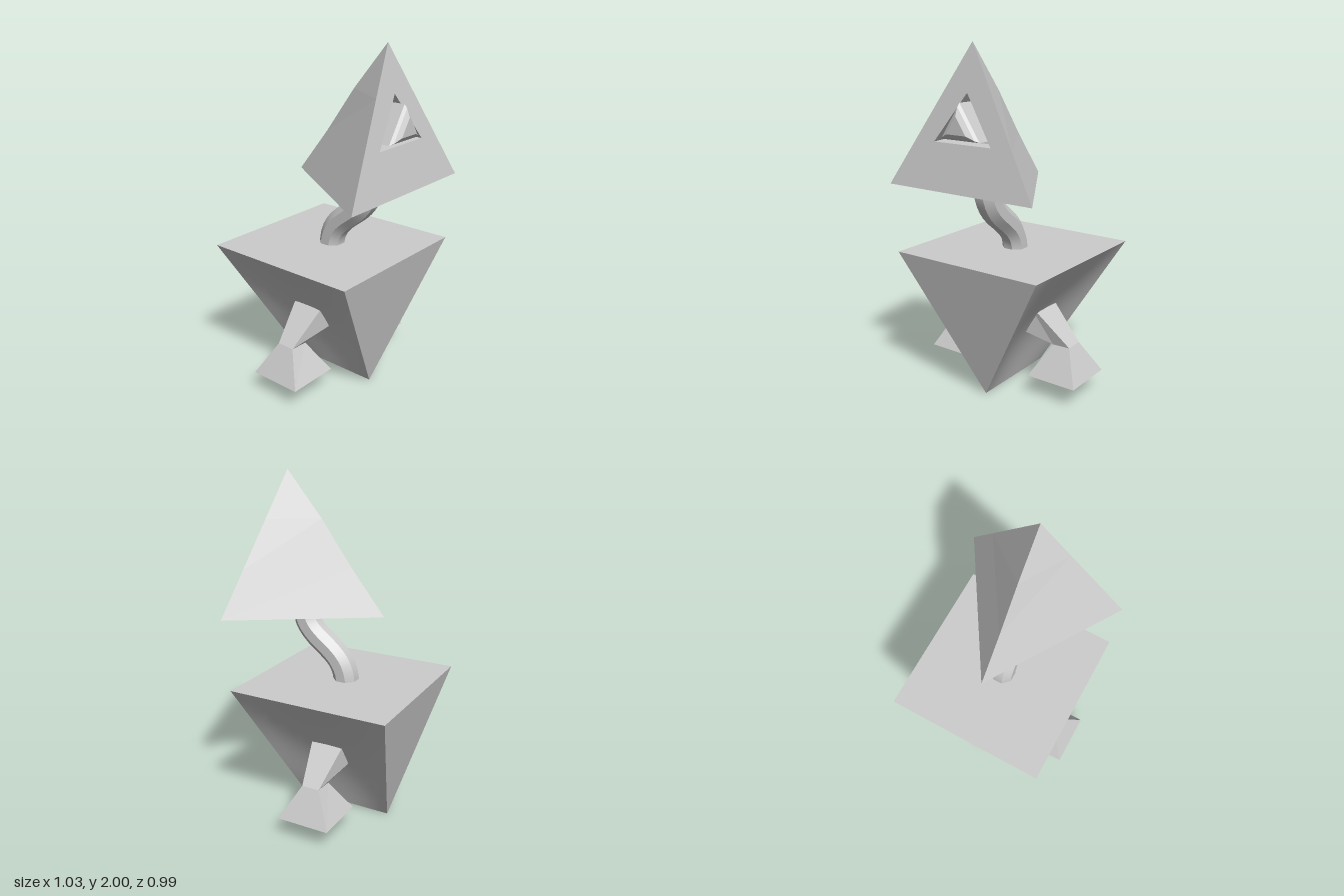
import * as THREE from 'three';
import { toCreasedNormals } from 'three/addons/utils/BufferGeometryUtils.js';

const material = new THREE.MeshStandardMaterial({ color: 0xcccccc });

// Flat-shaded skin over loops of [x, y, z] points, wound counter-clockwise about the
// direction of travel; edges listed in skip are left open.
function loft(loops, { skip = [], start = true, end = true } = {}) {
  const pos = [];
  const tri = (a, b, c) => pos.push(...a, ...b, ...c);
  const n = loops[0].length;
  for (let s = 0; s < loops.length - 1; s++) {
    for (let i = 0; i < n; i++) {
      if (skip.includes(i)) continue;
      const j = (i + 1) % n, p = loops[s], q = loops[s + 1];
      tri(p[i], p[j], q[j]);
      tri(p[i], q[j], q[i]);
    }
  }
  const first = loops[0], last = loops[loops.length - 1];
  for (let i = 1; i < n - 1; i++) {
    if (start) tri(first[0], first[i + 1], first[i]);
    if (end) tri(last[0], last[i], last[i + 1]);
  }
  const geo = new THREE.BufferGeometry();
  geo.setAttribute('position', new THREE.Float32BufferAttribute(pos, 3));
  geo.computeVertexNormals();
  return geo;
}

function add(parent, name, geo) {
  const mesh = new THREE.Mesh(geo, material);
  mesh.name = name;
  parent.add(mesh);
  return mesh;
}

const headFrontZ = y => 0.495 - 0.15 * (y - 1.23) / 0.77;

// Upright triangle: half width w, base y0, top y1, scaled by s about its centroid
function triangle(w, y0, y1, s, zAt) {
  const c = y0 + (y1 - y0) / 3;
  return [[-w, y0], [w, y0], [0, y1]].map(([x, y]) => {
    const py = c + (y - c) * s;
    return [x * s, py, zAt(py)];
  });
}

function makeHead() {
  const head = new THREE.Group();
  head.name = 'head';

  // Back sides and base, with a slightly bent rear edge
  const rings = [[1.23, -0.26], [1.484, -0.058], [1.743, 0.13], [2, 0.345]].map(([y, back]) => {
    const w = 0.475 * (2 - y) / 0.77;
    return [[-w, y, headFrontZ(y)], [w, y, headFrontZ(y)], [0, y, back]];
  });
  add(head, 'headShell', loft(rings, { skip: [0], end: false }));

  // Sloping face with a triangular opening
  const opening = triangle(0.187, 1.485, 1.745, 1, headFrontZ);
  const shape = new THREE.Shape([[-0.475, 1.23], [0.475, 1.23], [0, 2]].map(p => new THREE.Vector2(...p)));
  shape.holes.push(new THREE.Path(opening.map(p => new THREE.Vector2(p[0], p[1]))));
  const face = new THREE.ShapeGeometry(shape);
  const fp = face.attributes.position;
  for (let i = 0; i < fp.count; i++) fp.setZ(i, headFrontZ(fp.getY(i)));
  face.computeVertexNormals();
  add(head, 'face', face);

  // Recess around the eye
  const floor = triangle(0.187, 1.485, 1.745, 0.94, y => headFrontZ(y) - 0.07);
  add(head, 'eyeSocket', loft([opening, floor], { start: false }));

  // Bulging bevelled eye
  const eyeRings = [[1, 0.31], [1, 0.457], [0.85, 0.474], [0.5, 0.492]];
  add(head, 'eye', loft(eyeRings.map(([s, z]) => triangle(0.127, 1.507, 1.7, s, () => z))));
  return head;
}

// Eight-sided S-curved neck
function makeNeck() {
  const path = new THREE.CubicBezierCurve3(
    new THREE.Vector3(0, 0.8, -0.025), new THREE.Vector3(0, 1.04, -0.025),
    new THREE.Vector3(0, 1.01, 0.25), new THREE.Vector3(0, 1.25, 0.25));
  const octagon = new THREE.Shape();
  for (let i = 0; i < 8; i++) {
    const a = (i + 0.5) * Math.PI / 4;
    octagon[i ? 'lineTo' : 'moveTo'](0.0745 * Math.cos(a), 0.0745 * Math.sin(a));
  }
  octagon.closePath();
  const geo = new THREE.ExtrudeGeometry(octagon, { steps: 16, extrudePath: path });
  return toCreasedNormals(geo, 0.5);
}

// Body side: sloping trapezoid, gently hollowed in the middle
function makeBodySide() {
  const geo = new THREE.PlaneGeometry(2, 1, 12, 12);
  const p = geo.attributes.position;
  for (let i = 0; i < p.count; i++) {
    const u = p.getX(i), t = p.getY(i) + 0.5;
    const hollow = 0.062 * (1 - u * u) * Math.sin(Math.PI * t);
    p.setXYZ(i, 0.475 * t - hollow, 0.825 * t, -u * (0.285 + 0.19 * t));
  }
  geo.computeVertexNormals();
  return geo;
}

// Leg sections: outer x, outer y, inner x, inner y, half depth
function makeLeg() {
  const sections = [
    [0.17, 0.55, 0.1, 0.375, 0.11],
    [0.418, 0.31, 0.31, 0.305, 0.053],
    [0.515, 0.122, 0.206, 0.122, 0.158],
  ];
  return loft(sections.map(([ox, oy, ix, iy, d]) =>
    [[ox, oy, -d], [ox, oy, d], [ix, iy, d], [ix, iy, -d]]));
}

export function createModel() {
  const model = new THREE.Group();
  model.name = 'pyramidRobot';
  model.add(makeHead());
  add(model, 'neck', makeNeck());

  const lower = new THREE.Group();
  lower.name = 'lowerBody';
  lower.position.z = -0.02;
  model.add(lower);

  // Front, back and top of the inverted wedge body
  const wedgeEnd = s => [[-0.475, 0.825, 0.475 * s], [0, 0, 0.285 * s], [0.475, 0.825, 0.475 * s]];
  add(lower, 'body', loft([wedgeEnd(-1), wedgeEnd(1)], { skip: [0, 1] }));

  // Sides and legs, the right ones turned half round
  const side = makeBodySide(), leg = makeLeg();
  for (const [prefix, turn] of [['left', 0], ['right', Math.PI]]) {
    add(lower, prefix + 'BodySide', side).rotation.y = turn;
    add(lower, prefix + 'Leg', leg).rotation.y = turn;
  }
  return model;
}
